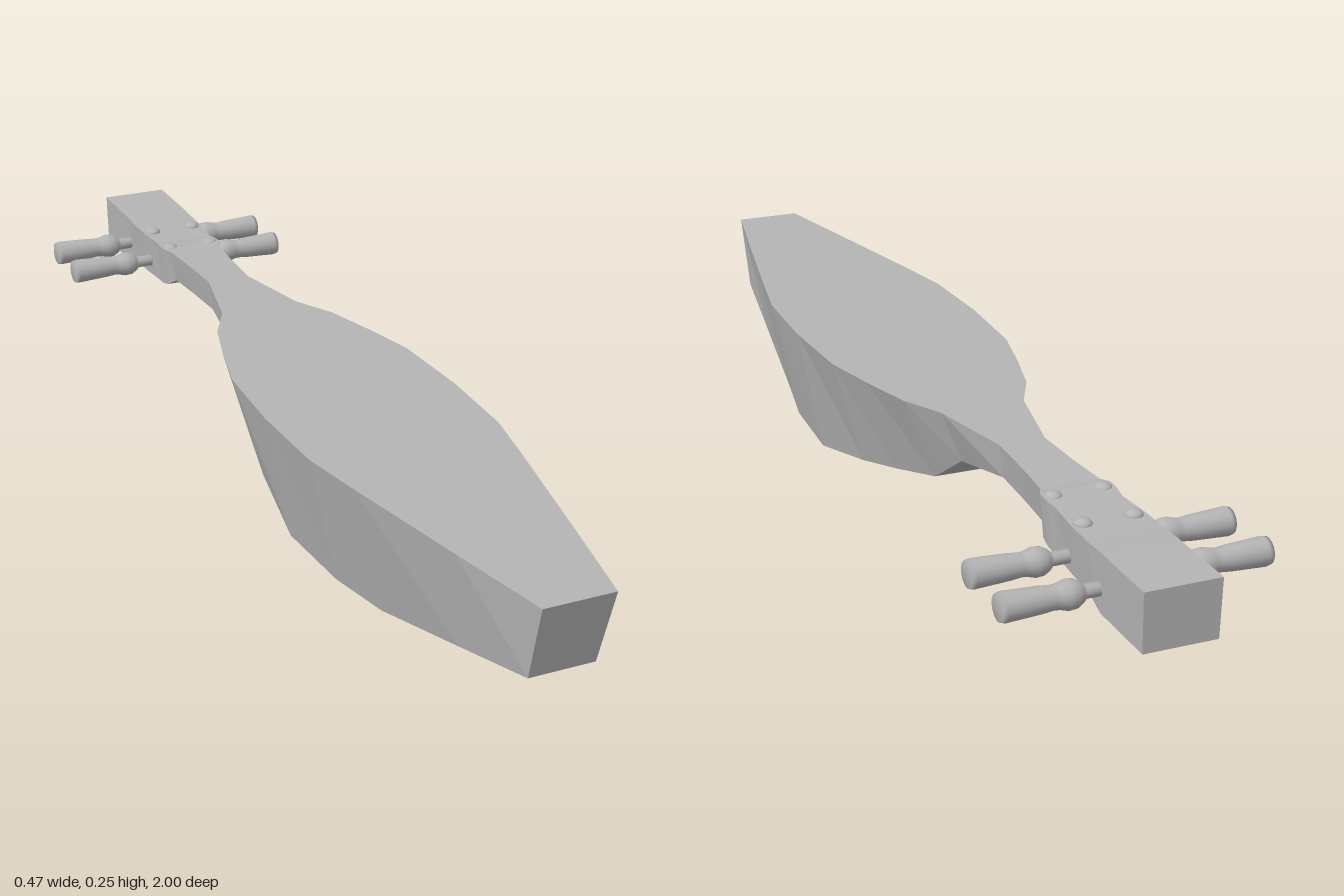
import * as THREE from 'three';

const grey = new THREE.MeshStandardMaterial({ color: 0xb4b4b4 });
grey.name = 'plain grey';

// Faceted loft through four-cornered sections, ordered front to back.
// Section: [z top, z bottom, half width top, half width bottom, y bottom, y top]
function loft(name, sections) {
  const pos = [], index = [], n = sections.length;
  for (const [zt, zb, wt, wb, yb, yt = 0.245] of sections) {
    pos.push(wt, yt, zt, -wt, yt, zt, -wb, yb, zb, wb, yb, zb);
  }
  for (let i = 0; i < n - 1; i++) {
    for (let j = 0; j < 4; j++) {
      const a = i * 4 + j, b = i * 4 + (j + 1) % 4, c = b + 4, d = a + 4;
      index.push(a, d, b, b, d, c);
    }
  }
  const e = (n - 1) * 4;
  index.push(0, 1, 2, 0, 2, 3, e, e + 2, e + 1, e, e + 3, e + 2);
  let geo = new THREE.BufferGeometry();
  geo.setAttribute('position', new THREE.Float32BufferAttribute(pos, 3));
  geo.setIndex(index);
  geo = geo.toNonIndexed();
  geo.computeVertexNormals();
  const mesh = new THREE.Mesh(geo, grey);
  mesh.name = name;
  return mesh;
}

// Turned tuning peg, lying along x
function peg(side, y, z) {
  const profile = [
    [0, 0.04], [0.012, 0.04], [0.012, 0.09], [0.018, 0.097], [0.024, 0.108],
    [0.025, 0.122], [0.021, 0.136], [0.02, 0.145], [0.022, 0.165],
    [0.025, 0.228], [0.023, 0.236], [0, 0.236],
  ].map(([r, h]) => new THREE.Vector2(r, h));
  const mesh = new THREE.Mesh(new THREE.LatheGeometry(profile, 24), grey);
  mesh.name = side > 0 ? 'leftPeg' : 'rightPeg';
  mesh.rotation.z = -side * Math.PI / 2;
  mesh.position.set(0, y, z);
  return mesh;
}

export function createModel() {
  const group = new THREE.Group();
  group.name = 'lute';

  // Hollow-looking bowl with a flat soundboard and faceted back
  group.add(loft('body', [
    [1.0, 0.96, 0.065, 0.06, 0.1],
    [0.8, 0.77, 0.106, 0.08, 0.055],
    [0.54, 0.54, 0.158, 0.105, 0.002],
    [0.41, 0.41, 0.182, 0.13, 0],
    [0.23, 0.23, 0.188, 0.14, 0],
    [0.05, 0.05, 0.179, 0.12, 0.038],
    [-0.06, -0.06, 0.153, 0.093, 0.061],
    [-0.17, -0.17, 0.122, 0.06, 0.085],
    [-0.25, -0.26, 0.08, 0.045, 0.15],
    [-0.42, -0.42, 0.043, 0.035, 0.183],
  ]));

  // Slim neck
  group.add(loft('neck', [
    [-0.42, -0.42, 0.043, 0.035, 0.183],
    [-0.52, -0.52, 0.047, 0.038, 0.181],
    [-0.61, -0.61, 0.054, 0.044, 0.18],
  ]));

  // Collar and square peg head
  group.add(loft('pegHead', [
    [-0.61, -0.61, 0.054, 0.044, 0.18],
    [-0.63, -0.63, 0.064, 0.056, 0.166, 0.247],
    [-0.655, -0.655, 0.064, 0.058, 0.16, 0.245],
    [-0.68, -0.68, 0.06, 0.056, 0.157, 0.243],
    [-0.75, -0.75, 0.066, 0.06, 0.155, 0.243],
    [-0.81, -0.81, 0.067, 0.062, 0.155, 0.243],
    [-0.86, -0.86, 0.067, 0.065, 0.141, 0.245],
    [-1.0, -1.0, 0.067, 0.065, 0.141, 0.245],
  ]));

  // Pegs and small rounded studs on both sides
  for (const side of [1, -1]) {
    for (const z of [-0.85, -0.73]) {
      group.add(peg(side, side > 0 ? 0.181 : 0.188, z - side * 0.003));
    }
    for (const z of [-0.64, -0.75]) {
      const stud = new THREE.Mesh(new THREE.SphereGeometry(0.016, 16, 10), grey);
      stud.name = 'stud';
      stud.scale.y = 0.6;
      stud.position.set(side * 0.045, 0.243, z);
      group.add(stud);
    }
  }
  return group;
}
